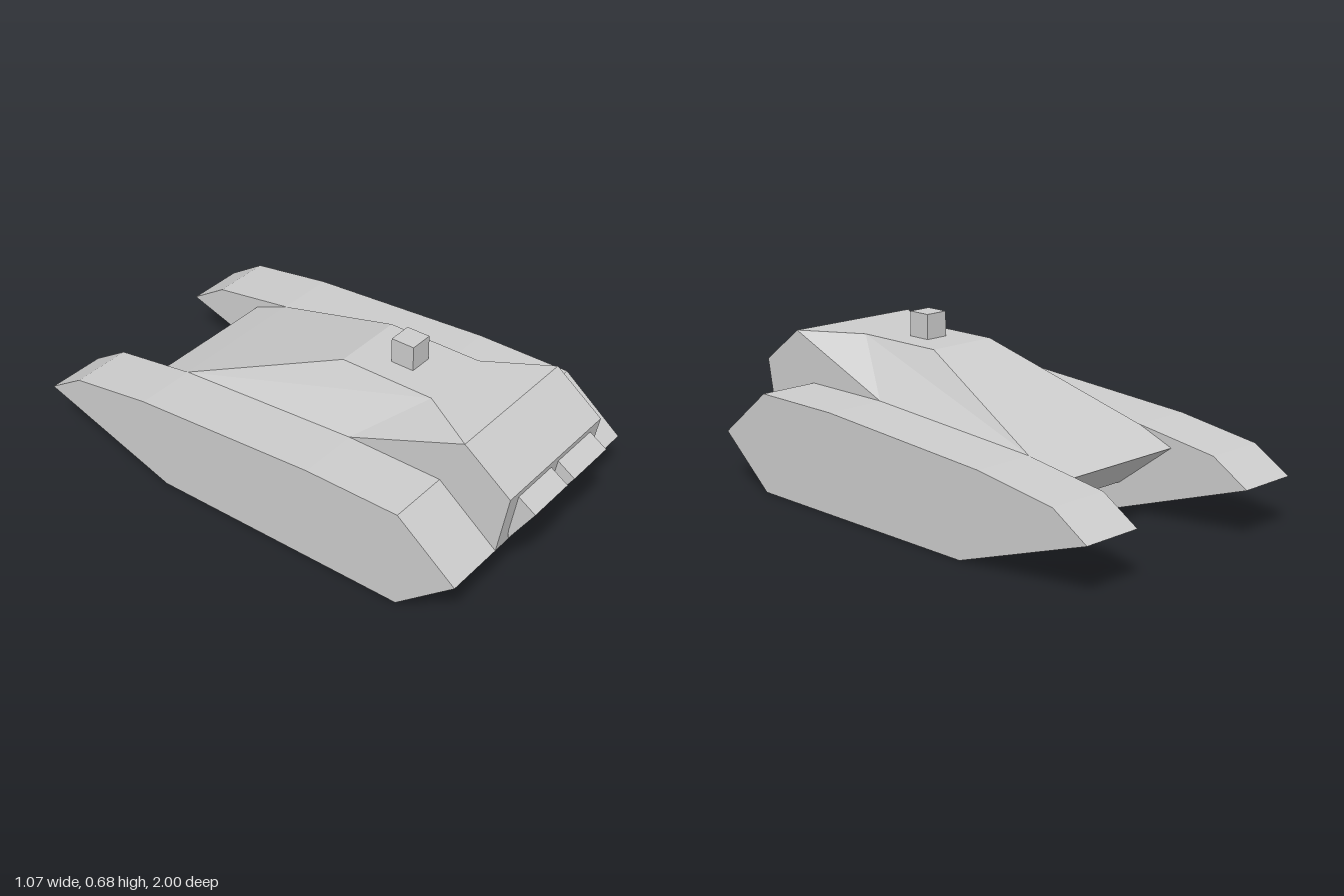
import * as THREE from 'three';

const material = new THREE.MeshStandardMaterial({ color: 0xcccccc, flatShading: true });

// Extrude a side profile of [z, y] points across x, from x0 to x1
function slab(name, profile, x0, x1) {
  const shape = new THREE.Shape(profile.map(([z, y]) => new THREE.Vector2(z, y)));
  const geometry = new THREE.ExtrudeGeometry(shape, { depth: x1 - x0, bevelEnabled: false });
  geometry.rotateY(-Math.PI / 2).translate(x1, 0, 0);
  const mesh = new THREE.Mesh(geometry, material);
  mesh.name = name;
  return mesh;
}

// Faceted cabin roof, narrowing behind the nose and widening again to the rear deck
function cabinRoof() {
  const nose = [0.29, 0.585, 0.745], waist = [0.145, 0.585, 0.505], crest = [0.145, 0.585, 0.12];
  const tail = [0.29, 0.34, -0.51], foot = [0.29, 0.39, 0.26];
  const mirror = ([x, y, z]) => [-x, y, z];
  const points = [];
  const triangle = (a, b, c) => points.push(...a, ...b, ...c);

  // Top panels and sloping rear deck
  const spine = [nose, waist, crest, tail];
  for (let i = 0; i < 3; i++) {
    const a = spine[i], b = spine[i + 1];
    triangle(a, b, mirror(b));
    triangle(a, mirror(b), mirror(a));
  }
  // Slanted side panels, mirrored left and right
  for (const [a, b, c] of [[nose, foot, waist], [waist, foot, tail], [waist, tail, crest]]) {
    triangle(a, b, c);
    triangle(mirror(a), mirror(c), mirror(b));
  }
  const geometry = new THREE.BufferGeometry();
  geometry.setAttribute('position', new THREE.Float32BufferAttribute(points, 3));
  geometry.computeVertexNormals();
  const mesh = new THREE.Mesh(geometry, material);
  mesh.name = 'cabinRoof';
  return mesh;
}

export function createModel() {
  const model = new THREE.Group();
  model.name = 'trackedVehicle';

  // Track pods
  const track = [
    [0.89, 0.197], [0.65, 0], [-0.42, 0], [-1, 0.197],
    [-0.85, 0.29], [-0.51, 0.34], [0.26, 0.39], [0.65, 0.39],
  ];
  model.add(slab('leftTrack', track, 0.29, 0.533), slab('rightTrack', track, -0.533, -0.29));

  // Central hull with wedge nose and rising tail
  const hull = [
    [0.745, 0.585], [0.935, 0.44], [0.89, 0.197], [0.65, 0.1],
    [-0.42, 0.1], [-0.66, 0.28], [-0.51, 0.34], [0.26, 0.39],
  ];
  model.add(slab('hull', hull, -0.29, 0.29), cabinRoof());

  // Hooded headlights on the nose
  const lamp = [[0.9, 0.415], [0.9, 0.22], [0.902, 0.22], [1, 0.37], [0.93, 0.415]];
  model.add(slab('leftHeadlight', lamp, 0.018, 0.23), slab('rightHeadlight', lamp, -0.23, -0.026));

  // Small roof hatch block
  const hatch = new THREE.Mesh(new THREE.BoxGeometry(0.095, 0.1, 0.095), material);
  hatch.name = 'roofBlock';
  hatch.position.set(-0.002, 0.632, 0.31);
  model.add(hatch);

  return model;
}
